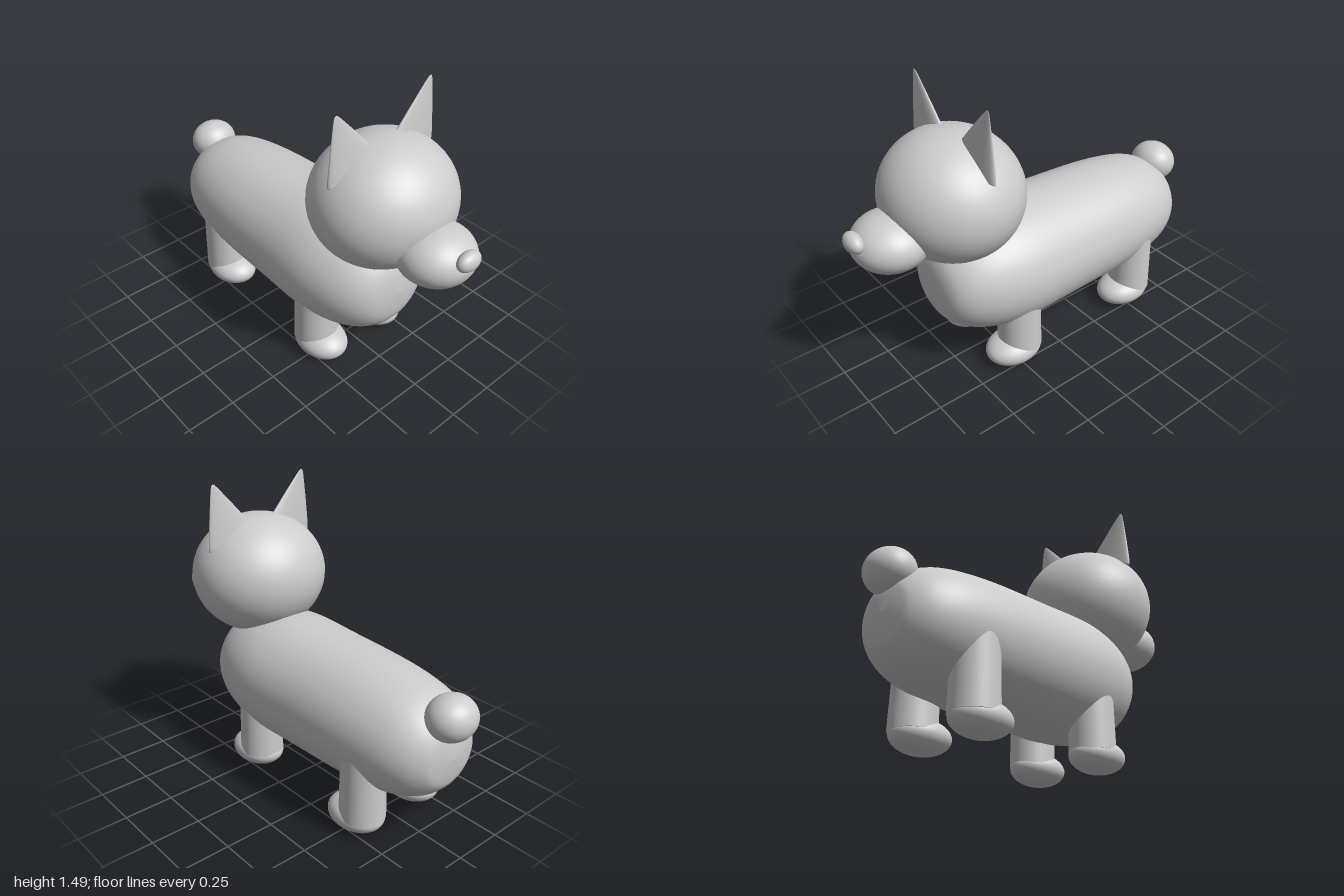
import * as THREE from 'three';

export function createModel() {
  const model = new THREE.Group();
  model.name = 'dog';
  const grey = new THREE.MeshStandardMaterial({ color: 0xcccccc });
  grey.name = 'light grey';

  const add = (name, geometry, x, y, z) => {
    const mesh = new THREE.Mesh(geometry, grey);
    mesh.name = name;
    mesh.position.set(x, y, z);
    model.add(mesh);
    return mesh;
  };
  const ellipsoid = (name, pos, radii) =>
    add(name, new THREE.SphereGeometry(1, 48, 32).scale(...radii), ...pos);
  const smoothProfile = (points, n) =>
    new THREE.SplineCurve(points.map(p => new THREE.Vector2(...p))).getPoints(n)
      .map(p => p.setX(Math.max(0, p.x)));

  // Long barrel body, [radius, z] from rump to chest, slightly flatter than wide
  const bodyProfile = smoothProfile([
    [0, -0.92], [0.1, -0.908], [0.165, -0.885], [0.235, -0.81], [0.285, -0.68],
    [0.315, -0.45], [0.328, -0.1], [0.336, 0.18], [0.312, 0.35], [0.265, 0.475],
    [0.2, 0.555], [0.12, 0.592], [0, 0.605],
  ], 60);
  const body = add('body',
    new THREE.LatheGeometry(bodyProfile, 64).rotateX(Math.PI / 2).scale(1, 0.965, 1),
    0, 0.497, 0);
  body.rotation.x = -0.015;

  // Head, face and tail
  ellipsoid('head', [0, 0.985, 0.457], [0.355, 0.313, 0.337]);
  ellipsoid('muzzle', [0, 0.865, 0.785], [0.184, 0.135, 0.185]);
  ellipsoid('nose', [0, 0.925, 0.96], [0.066, 0.047, 0.04]);
  ellipsoid('tail', [0, 0.68, -0.887], [0.125, 0.107, 0.113]);

  for (const [side, s] of [['left', 1], ['right', -1]]) {
    // Flattened, slightly bulging pointed ear leaning outwards
    const earProfile = smoothProfile(
      [[0, -0.008], [0.12, -0.005], [0.137, 0.005], [0.1, 0.098], [0.055, 0.2], [0.015, 0.285], [0, 0.3]], 30);
    const ear = add(`${side} ear`,
      new THREE.LatheGeometry(earProfile, 40).scale(1, 1, 0.21),
      s * 0.185, 1.203, 0.438);
    ear.rotation.z = -s * 0.318;

    // Legs with oval paws reaching forwards
    for (const [end, legZ, pawZ] of [['front', 0.222, 0.258], ['back', -0.555, -0.513]]) {
      add(`${side} ${end} leg`,
        new THREE.CylinderGeometry(0.106, 0.113, 0.38, 40), s * 0.19, 0.28, legZ);
      ellipsoid(`${side} ${end} paw`, [s * 0.188, 0.081, pawZ], [0.121, 0.08, 0.153]);
    }
  }
  return model;
}
